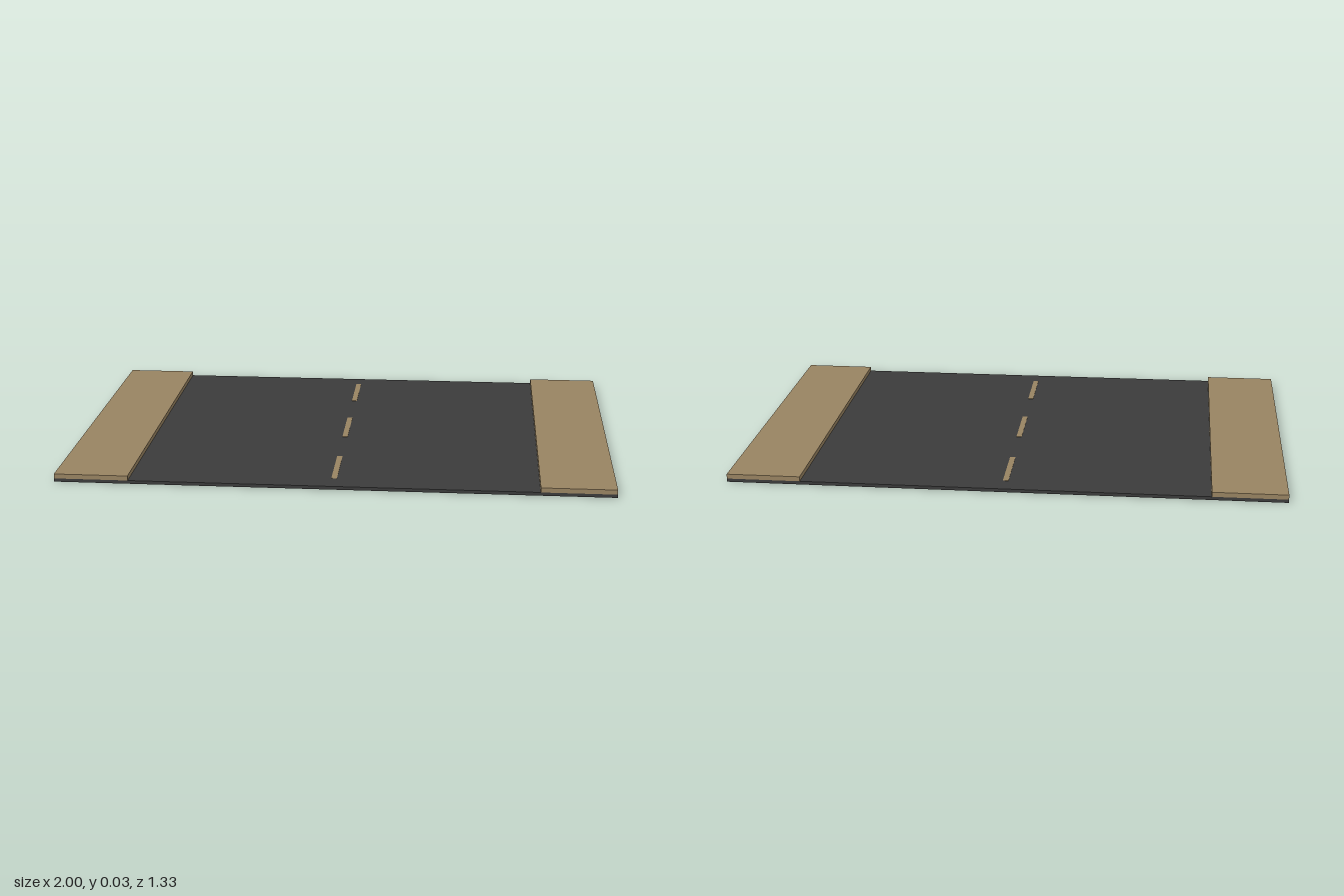
import * as THREE from 'three';

const LENGTH = 1.333, ROAD_H = 0.012, TOP = 0.029, KERB_W = 0.267;

export function createModel() {
  const model = new THREE.Group();
  model.name = 'roadSection';

  const asphalt = new THREE.MeshStandardMaterial({ color: 0x3b3b3b });
  asphalt.name = 'asphalt';
  const sand = new THREE.MeshStandardMaterial({ color: 0x988361 });
  sand.name = 'sand';

  // Box resting with its underside at height y
  const slab = (name, material, [w, h, d], [x, y, z]) => {
    const mesh = new THREE.Mesh(new THREE.BoxGeometry(w, h, d), material);
    mesh.name = name;
    mesh.position.set(x, y + h / 2, z);
    model.add(mesh);
  };

  // Road bed
  slab('roadBed', asphalt, [2, ROAD_H, LENGTH], [0, 0, 0]);

  // Raised pavements along both edges
  for (const [name, side] of [['leftPavement', 1], ['rightPavement', -1]]) {
    slab(name, sand, [KERB_W, TOP - ROAD_H, LENGTH], [side * (1 - KERB_W / 2), ROAD_H, 0]);
  }

  // Dashed centre line
  for (const i of [-1, 0, 1]) {
    slab('centreDash', sand, [0.02, 0.0015, 0.24], [0, ROAD_H, i * 0.467]);
  }

  return model;
}
